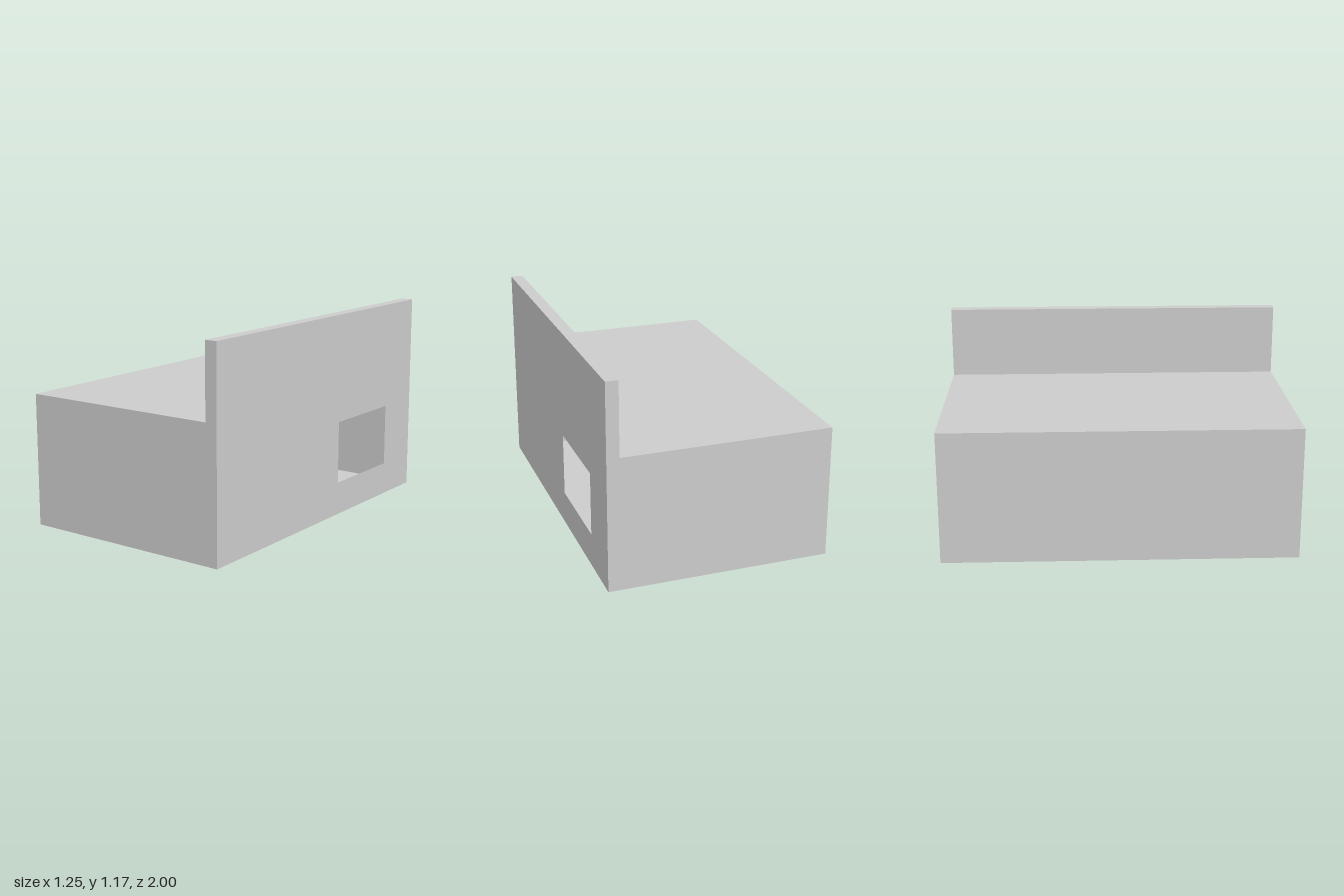
import * as THREE from 'three';

const W = 0.627, STEP = 0.557, ROOF = 0.755, TOP = 1.17, HALF = 1;

export function createModel() {
  const group = new THREE.Group();
  // Thin hollow shell, visible from inside through the window
  const material = new THREE.MeshStandardMaterial({
    color: 0xcccccc, flatShading: true, side: THREE.DoubleSide,
  });
  const add = (name, geometry) => {
    const mesh = new THREE.Mesh(geometry, material);
    mesh.name = name;
    group.add(mesh);
  };

  // L-shaped cross-section, counter-clockwise from the bottom left
  const profile = [
    [-W, 0], [W, 0], [W, TOP], [STEP, TOP], [STEP, ROOF], [-W, ROOF],
  ].map(([x, y]) => new THREE.Vector2(x, y));

  // End walls
  const endShape = new THREE.Shape(profile);
  add('frontWall', new THREE.ShapeGeometry(endShape).translate(0, 0, HALF));
  add('backWall', new THREE.ShapeGeometry(endShape).rotateY(Math.PI).scale(-1, 1, 1)
    .translate(0, 0, -HALF));

  // Long panels, one per edge of the cross-section (null is the window wall)
  const names = ['floor', null, 'parapetCap', 'parapetInnerFace', 'roofDeck', 'rearSideWall'];
  names.forEach((name, i) => {
    if (!name) return;
    const a = profile[i], b = profile[(i + 1) % profile.length];
    add(name, new THREE.PlaneGeometry(a.distanceTo(b), 2 * HALF)
      .rotateX(Math.PI / 2)
      .rotateZ(Math.atan2(b.y - a.y, b.x - a.x))
      .translate((a.x + b.x) / 2, (a.y + b.y) / 2, 0));
  });

  // Tall side wall with its window; shape x runs towards -z
  const rectangle = (Type, x0, x1, y0, y1) => new Type([
    new THREE.Vector2(x0, y0), new THREE.Vector2(x1, y0),
    new THREE.Vector2(x1, y1), new THREE.Vector2(x0, y1),
  ]);
  const wall = rectangle(THREE.Shape, -HALF, HALF, 0, TOP);
  wall.holes.push(rectangle(THREE.Path, 0.16, 0.70, 0.19, 0.55));
  add('windowWall', new THREE.ShapeGeometry(wall).rotateY(Math.PI / 2).translate(W, 0, 0));

  return group;
}
